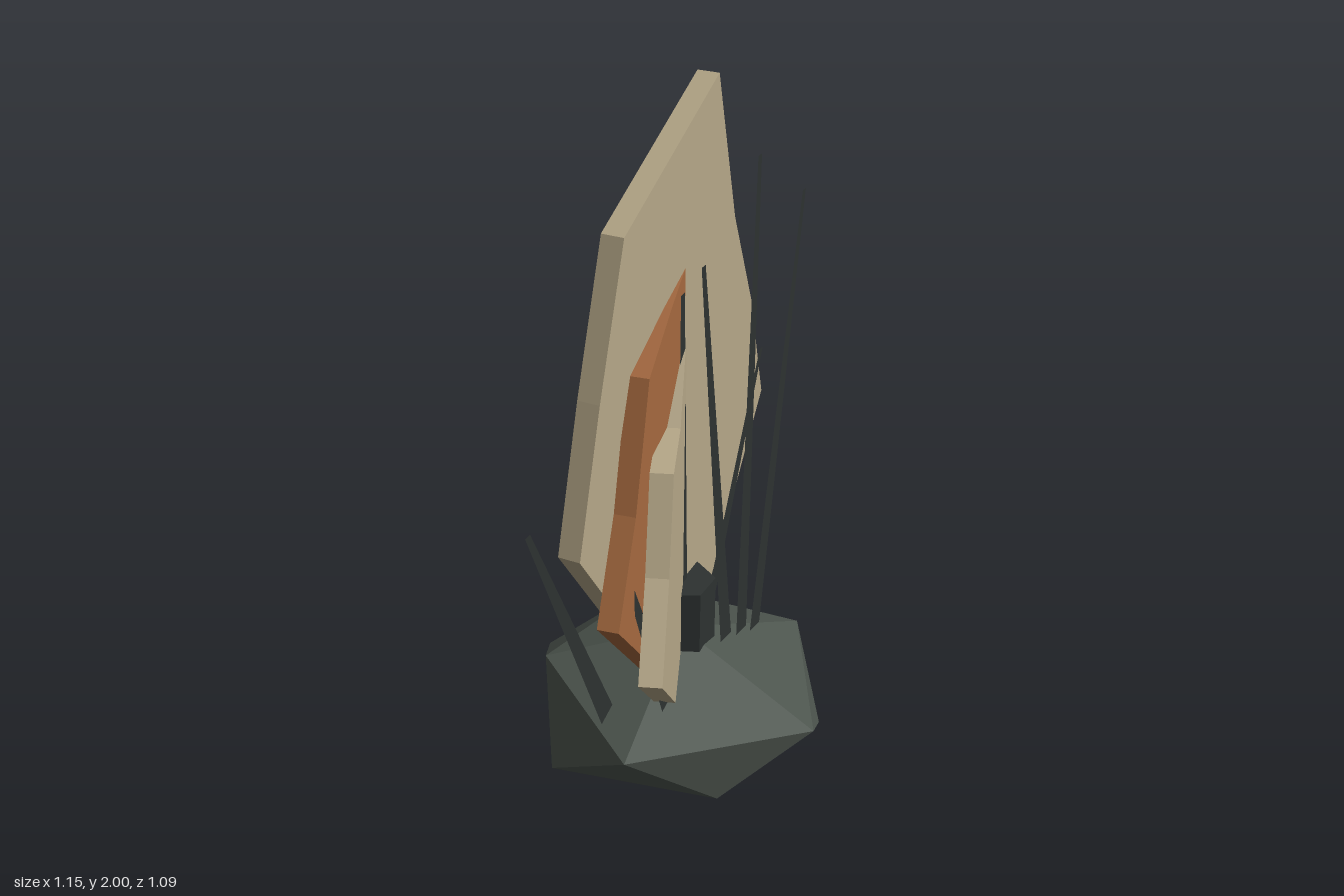
import * as THREE from 'three';

const mat = (color, extra = {}) => new THREE.MeshStandardMaterial({ color, flatShading: true, ...extra });

export function createModel() {
  const model = new THREE.Group();
  const tan = mat(0xb5a788);
  const rust = mat(0xa5693f);
  const stone = mat(0x4d554e);
  const dark = mat(0x2d3231);
  const reed = mat(0x2d3231, { side: THREE.DoubleSide });

  const add = (name, geometry, material) => {
    const mesh = new THREE.Mesh(geometry, material);
    mesh.name = name;
    model.add(mesh);
    return mesh;
  };

  // Faceted rock: apex, upper ring, and a lower ring closed by a flat underside
  const apex = [0.085, 0.35, 0];
  const upper = [[0.53, 0.195, 0], [0.247, 0.206, 0.466], [-0.293, 0.206, 0.3], [-0.247, 0.21, -0.248], [0.23, 0.196, -0.415]];
  const lower = [[0.44, 0, 0.253], [-0.02, 0, 0.37], [-0.368, 0, 0], [-0.08, 0, -0.54], [0.43, 0, -0.233]];
  const bottom = [0.08, 0, 0];
  const faces = [];
  for (let i = 0; i < 5; i++) {
    const j = (i + 1) % 5;
    faces.push(
      apex, upper[j], upper[i],
      upper[i], upper[j], lower[i],
      upper[j], lower[j], lower[i],
      bottom, lower[i], lower[j],
    );
  }
  const rock = new THREE.BufferGeometry();
  rock.setAttribute('position', new THREE.Float32BufferAttribute(faces.flat(), 3));
  rock.computeVertexNormals();
  add('rockBase', rock, stone);

  // Short hexagonal core on the rock
  add('hexagonalCore', new THREE.CylinderGeometry(0.1, 0.1, 0.3, 6), dark).position.set(0.09, 0.374, 0);

  // Upright slabs fanned around one vertical axis
  const slab = (name, angle, depth, material, outline) => {
    const shape = new THREE.Shape(outline.map(([u, y]) => new THREE.Vector2(u, y)));
    const geometry = new THREE.ExtrudeGeometry(shape, { depth, bevelEnabled: false });
    geometry.translate(0, 0, -depth / 2);
    const mesh = add(name, geometry, material);
    mesh.position.set(0.075, 0, -0.024);
    mesh.rotation.y = THREE.MathUtils.degToRad(angle);
  };
  slab('tallSlab', 32.2, 0.063, tan, [
    [-0.12, 0.24], [0.09, 0.24], [0.569, 0.883], [0.46, 1.24], [0.319, 1.555], [0.19, 2],
    [-0.36, 1.75], [-0.5, 1.36], [-0.622, 0.967],
  ]);
  slab('rustSlab', 41.2, 0.06, rust, [
    [-0.14, 0.24], [0.11, 0.24], [0.61, 0.778], [0.54, 1.235], [0.355, 1.375], [0.195, 1.68],
    [0, 1.535], [-0.14, 1.47], [-0.335, 1.363], [-0.455, 1.02], [-0.606, 0.757],
  ]);
  slab('lowSlab', 52.5, 0.063, tan, [
    [-0.2, 0.2], [0.14, 0.2], [0.65, 0.613], [0.52, 0.885], [0.27, 0.99], [0.14, 1.11],
    [0, 1.34], [-0.18, 1.135], [-0.383, 1.115], [-0.5, 0.867], [-0.677, 0.65],
  ]);

  // Flat tapering reeds, each lying in a vertical plane parallel to the tall slab
  const along = new THREE.Vector3(0.846, 0, -0.533);
  const reeds = [
    [[-0.225, 0.2, 0.1], [-0.568, 1.083, 0.315]],
    [[0.225, 0.22, 0.05], [0.024, 1.617, 0.185]],
    [[0.29, 0.22, 0.03], [0.293, 1.813, 0.037]],
    [[0.345, 0.22, 0.02], [0.552, 1.617, -0.106]],
    [[0.17, 0.24, -0.01], [0.505, 1.083, -0.217]],
    [[-0.08, 0.22, 0.15], [-0.135, 1.31, 0.185]],
    [[0.08, 0.24, 0.02], [0.062, 1.47, 0.032]],
    [[-0.06, 0.2, 0.18], [-0.3, 0.88, 0.335]],
  ];
  for (const [base, tip] of reeds) {
    const geometry = new THREE.PlaneGeometry(1, 1);
    const position = geometry.attributes.position;
    for (let i = 0; i < position.count; i++) {
      const top = position.getY(i) > 0;
      const p = new THREE.Vector3(...(top ? tip : base));
      p.addScaledVector(along, position.getX(i) * (top ? 0.024 : 0.08));
      position.setXYZ(i, p.x, p.y, p.z);
    }
    geometry.computeVertexNormals();
    add('reed', geometry, reed);
  }

  return model;
}
